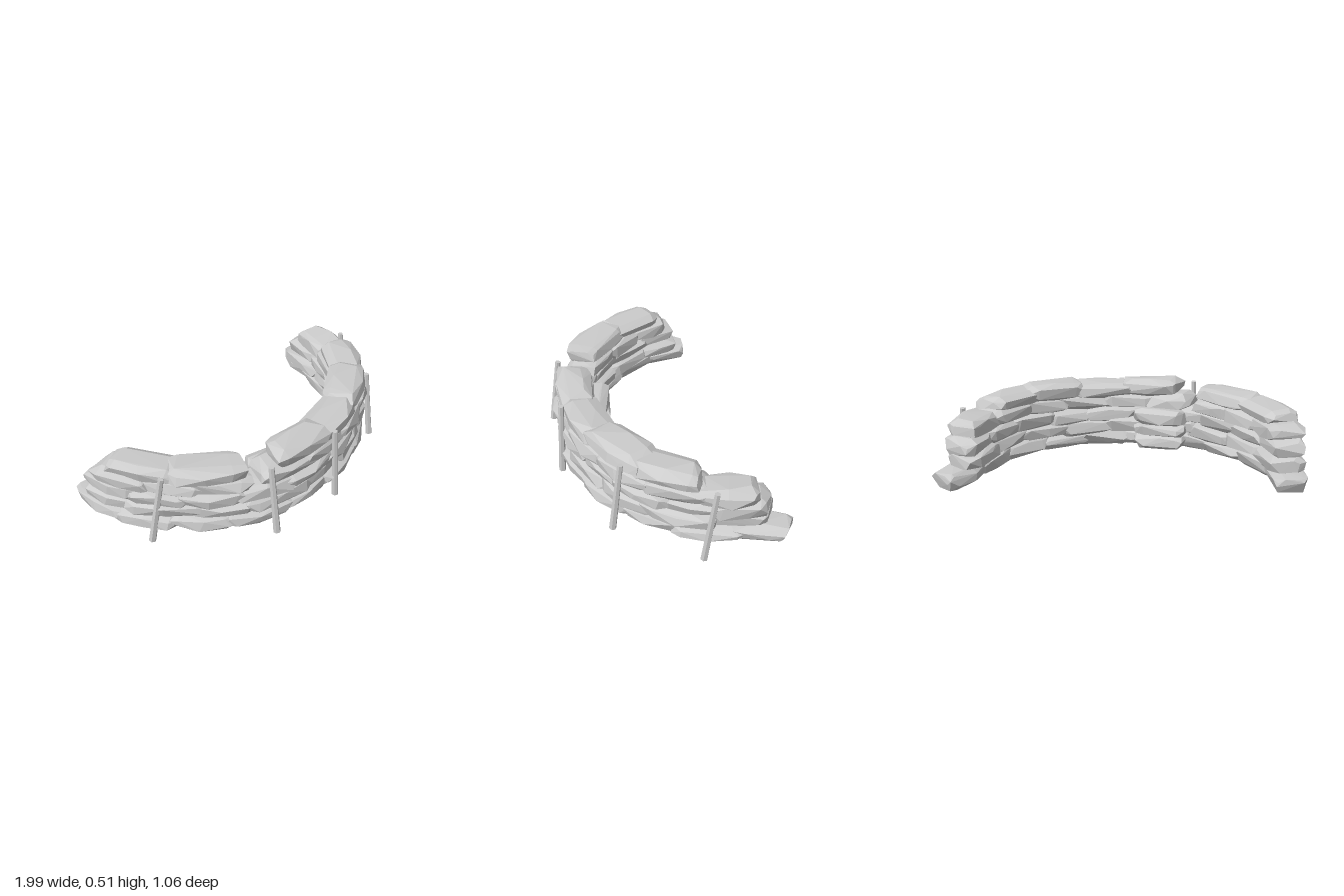
import * as THREE from 'three';
import { ConvexGeometry } from 'three/addons/geometries/ConvexGeometry.js';

const material = new THREE.MeshStandardMaterial({ color: 0xcccccc, flatShading: true });

// small seeded random in -1..1
let seed = 7;
function jitter(amount) {
  seed = (seed * 16807) % 2147483647;
  return (seed / 2147483647 * 2 - 1) * amount;
}

// ground line of the curved wall, from the -x end round the front to the +x end
const path = new THREE.CatmullRomCurve3([
  [-0.885, -0.515], [-0.885, -0.3], [-0.755, 0], [-0.515, 0.26], [-0.25, 0.37], [0.05, 0.38],
  [0.35, 0.3], [0.635, 0.11], [0.795, -0.16], [0.84, -0.37], [0.935, -0.495],
].map(([x, z]) => new THREE.Vector3(x, 0, z)));

// boxy rounding for the bag section
const boxy = (v) => Math.sign(v) * Math.abs(v) ** 0.65;

// one irregular flat bag lying along the wall between u0 and u1
function bag({ u0, u1, y0, y1, width, offset = 0, flatBase = false }) {
  const points = [];
  const stations = [[0, 0.66], [0.14, 0.92], [0.5, 1], [0.86, 0.92], [1, 0.66]];
  const midY = (y0 + y1) / 2, halfH = (y1 - y0) / 2;
  for (const [t, scale] of stations) {
    const u = THREE.MathUtils.clamp(u0 + (u1 - u0) * t, 0, 1);
    const centre = path.getPointAt(u);
    const tangent = path.getTangentAt(u);
    const out = new THREE.Vector3(-tangent.z, 0, tangent.x);
    for (let i = 0; i < 8; i++) {
      const a = (i + 0.5) / 8 * Math.PI * 2;
      let across = boxy(Math.cos(a)) * width / 2 * (0.4 + 0.6 * scale) + offset + jitter(0.016);
      let along = jitter(0.018);
      let y = midY + boxy(Math.sin(a)) * halfH * scale + jitter(0.012);
      if (flatBase && Math.sin(a) < -0.5) {
        // flat underside, drawn in a little all round
        y = y0;
        across = offset + (across - offset) * 1.25;
        along += (0.5 - t) * 0.03;
      }
      const p = centre.clone().addScaledVector(out, across).addScaledVector(tangent, along);
      points.push(p.setY(Math.max(y, 0.1)));
    }
  }
  const mesh = new THREE.Mesh(new ConvexGeometry(points), material);
  mesh.name = 'bag';
  return mesh;
}

// a leaning six-sided stake between two points
function stake(bottom, top) {
  const a = new THREE.Vector3(...bottom), b = new THREE.Vector3(...top);
  const dir = b.clone().sub(a);
  const mesh = new THREE.Mesh(new THREE.CylinderGeometry(0.016, 0.02, dir.length(), 6), material);
  mesh.position.copy(a).add(b).multiplyScalar(0.5);
  mesh.quaternion.setFromUnitVectors(new THREE.Vector3(0, 1, 0), dir.normalize());
  mesh.name = 'stake';
  return mesh;
}

export function createModel() {
  const group = new THREE.Group();
  group.name = 'curvedBagWall';

  // courses from the ground up; each run is [start, end, number of bags]
  const courses = [
    { y0: 0.1, y1: 0.19, width: 0.215, runs: [[0.005, 0.995, 10]] },
    { y0: 0.165, y1: 0.27, width: 0.23, runs: [[0.03, 0.955, 9]] },
    { y0: 0.24, y1: 0.345, width: 0.222, runs: [[0.04, 0.955, 10]] },
    { y0: 0.315, y1: 0.42, width: 0.212, runs: [[0.06, 0.335, 3], [0.355, 0.93, 6]] },
    { y0: 0.39, y1: 0.49, width: 0.205, runs: [[0.085, 0.325, 2], [0.385, 0.83, 4]] },
  ];
  courses.forEach(({ y0, y1, width, runs }, level) => {
    const course = new THREE.Group();
    course.name = 'course' + (level + 1);
    for (const [start, end, count] of runs) {
      const step = (end - start) / count;
      for (let i = 0; i < count; i++) {
        const inner = i > 0 ? 0.01 : 0, outer = i < count - 1 ? 0.01 : 0;
        const lift = level ? jitter(0.008) : 0;
        const atEnd = start + i * step < 0.05 || start + (i + 1) * step > 0.92;
        course.add(bag({
          u0: start + i * step - inner, u1: start + (i + 1) * step + outer,
          y0: y0 + lift, y1: y1 + lift, width: width * (atEnd ? 0.92 : 1) + jitter(0.012),
          offset: level < 4 ? jitter(0.012) : 0, flatBase: level === 0,
        }));
      }
    }
    group.add(course);
  });

  // bags bulging inward beside the gap in the upper courses
  const bulge = new THREE.Group();
  bulge.name = 'innerBulge';
  [[0.1, 0.19], [0.17, 0.26], [0.24, 0.34]].forEach(([y0, y1], i) => {
    bulge.add(bag({ u0: 0.355, u1: 0.48, y0, y1, width: 0.19, offset: -0.1, flatBase: i === 0 }));
  });
  group.add(bulge);

  // stakes along the outer face
  const stakes = new THREE.Group();
  stakes.name = 'stakes';
  [
    [[-0.89, 0.03, -0.01], [-0.84, 0.45, 0.045]],
    [[-0.445, 0.06, 0.47], [-0.435, 0.465, 0.42]],
    [[0.02, 0.03, 0.51], [0.01, 0.465, 0.49]],
    [[0.582, 0.05, 0.355], [0.575, 0.46, 0.305]],
    [[0.88, 0, -0.05], [0.885, 0.435, -0.1]],
  ].forEach(([bottom, top]) => stakes.add(stake(bottom, top)));
  group.add(stakes);

  return group;
}
